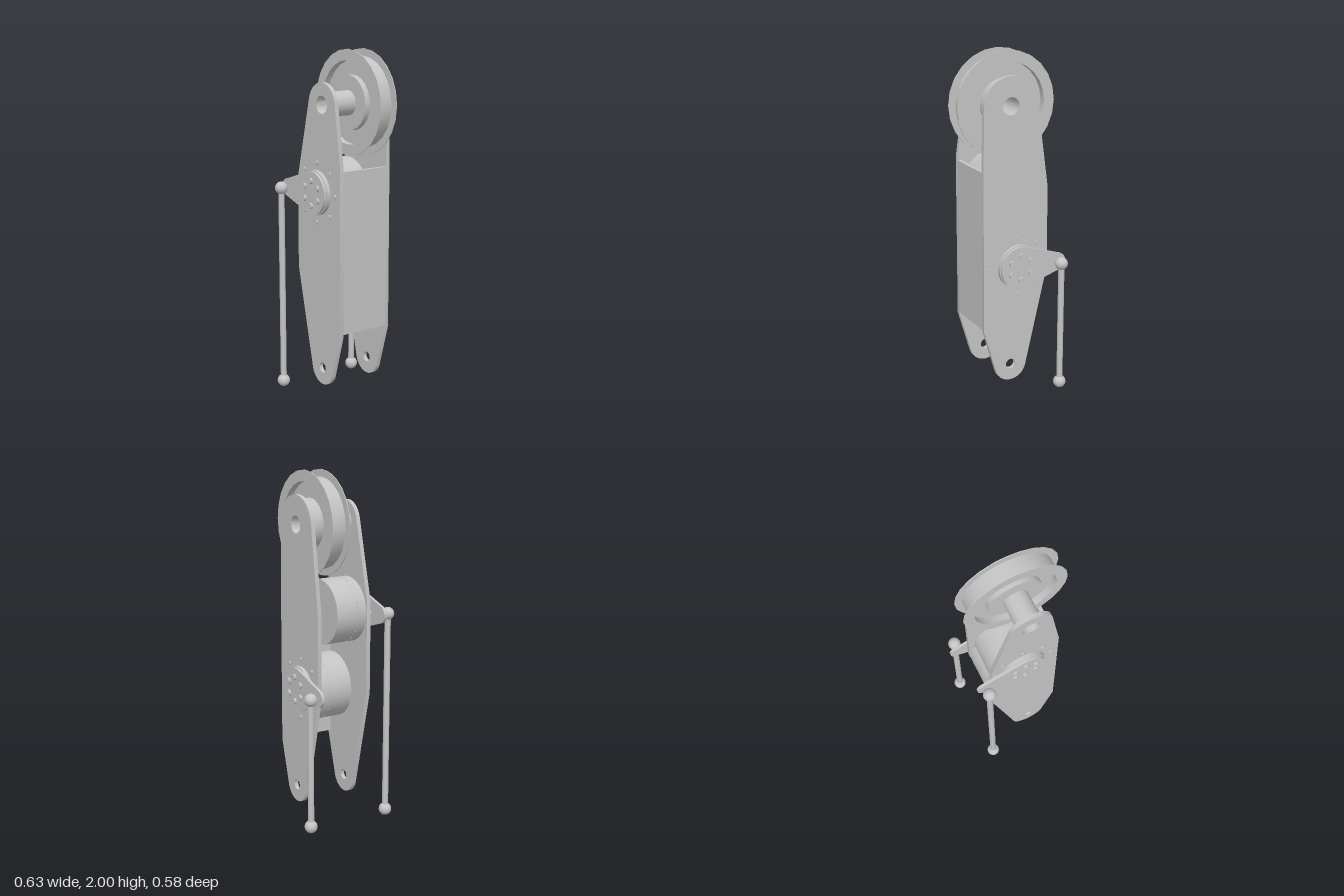
import * as THREE from 'three';
import { toCreasedNormals } from 'three/addons/utils/BufferGeometryUtils.js';

const metal = new THREE.MeshStandardMaterial({ color: 0xc4c4c4 });
metal.name = 'light grey metal';

const AXLE = [0.019, 1.702];
const FOOT = [0.019, 0.18];
const MOTOR_X = -0.028;
const TIP_X = -0.267;

function add(parent, name, geometry, x = 0, y = 0, z = 0) {
  const mesh = new THREE.Mesh(geometry, metal);
  mesh.name = name;
  mesh.position.set(x, y, z);
  parent.add(mesh);
  return mesh;
}

// Closed [radius, z] profile revolved around the z axis
function turned(profile, segments) {
  const points = profile.map(([r, z]) => new THREE.Vector2(r, z));
  const g = new THREE.LatheGeometry(points, segments).rotateX(Math.PI / 2);
  return toCreasedNormals(g, 0.5);
}

const disc = (r, depth, segments) => new THREE.CylinderGeometry(r, r, depth, segments).rotateX(Math.PI / 2);

function extruded(shape, depth) {
  return toCreasedNormals(new THREE.ExtrudeGeometry(shape, { depth, bevelEnabled: false, curveSegments: 24 }), 0.5);
}

// Angle on a circle where the tangent from an outside point touches it
function tangent([cx, cy], r, [px, py], side) {
  const d = Math.hypot(px - cx, py - cy);
  return Math.atan2(py - cy, px - cx) + side * Math.acos(r / d);
}

function plateShape(topR, rightTop, leftTop) {
  const footR = 0.1;
  const rl = [0.19, 0.41], rt = [0.19, rightTop], lt = [-0.215, leftTop], ll = [-0.215, 0.74];
  const s = new THREE.Shape();
  s.moveTo(...rl);
  s.lineTo(...rt);
  s.absarc(...AXLE, topR, tangent(AXLE, topR, rt, 1), tangent(AXLE, topR, lt, -1) + 2 * Math.PI, false);
  s.lineTo(...lt);
  s.lineTo(...ll);
  s.absarc(...FOOT, footR, tangent(FOOT, footR, ll, 1), tangent(FOOT, footR, rl, -1) + 2 * Math.PI, false);
  s.closePath();
  for (const [c, r] of [[AXLE, 0.05], [FOOT, 0.03]]) {
    s.holes.push(new THREE.Path().absarc(...c, r, 0, Math.PI * 2, true));
  }
  return s;
}

function leverShape() {
  const R = 0.123, r = 0.05, reach = MOTOR_X - TIP_X;
  const a = Math.PI - Math.acos((R - r) / reach);
  const s = new THREE.Shape();
  s.absarc(0, 0, R, -a, a, false);
  s.absarc(-reach, 0, r, a, 2 * Math.PI - a, false);
  s.closePath();
  return s;
}

// Motor, output disc, lever, bolts and push rod on one side (s = 1 front, -1 back)
function actuator(name, y, s) {
  const g = new THREE.Group();
  g.name = name;
  const housing = [[0, -0.046], [0.187, -0.046], [0.187, 0.144], [0.18, 0.149], [0, 0.149]];
  const motor = add(g, 'motorHousing', turned(housing, 40), MOTOR_X, y);
  if (s < 0) motor.rotation.y = Math.PI;
  // Shallow tabs around the housing seam
  for (let i = 0; i < 20; i++) {
    const a = i * Math.PI / 10;
    const tab = add(g, 'seamTab', new THREE.BoxGeometry(0.004, 0.03, 0.008),
      MOTOR_X + 0.186 * Math.cos(a), y + 0.186 * Math.sin(a), s * 0.09);
    tab.rotation.z = a;
  }
  add(g, 'outputDisc', disc(0.129, 0.024, 40), MOTOR_X, y, s * 0.184);
  add(g, 'lever', extruded(leverShape(), 0.017), MOTOR_X, y, s > 0 ? 0.195 : -0.212);
  for (let i = 0; i < 6; i++) {
    const a = Math.PI / 2 + i * Math.PI / 3;
    add(g, 'discBolt', disc(0.017, 0.014, 16), MOTOR_X + 0.071 * Math.cos(a), y + 0.071 * Math.sin(a), s * 0.218);
  }
  for (let i = 0; i < 8; i++) {
    const a = i * Math.PI / 4;
    add(g, 'mountBolt', disc(0.0125, 0.012, 14), MOTOR_X + 0.17 * Math.cos(a), y + 0.17 * Math.sin(a), s * 0.175);
  }
  // Push rod with ball ends
  const low = 0.037, z = s * 0.253;
  add(g, 'pushRod', new THREE.CylinderGeometry(0.018, 0.018, y - low, 20), TIP_X, (y + low) / 2, z);
  for (const by of [low, y]) add(g, 'rodBall', new THREE.SphereGeometry(0.037, 24, 16), TIP_X, by, z);
  return g;
}

export function createModel() {
  const model = new THREE.Group();
  model.name = 'pulleyLeg';

  // Side plates and the wall joining them
  add(model, 'frontPlate', extruded(plateShape(0.122, 1.365, 1.27), 0.024), 0, 0, 0.148);
  add(model, 'backPlate', extruded(plateShape(0.165, 1.33, 1.22), 0.024), 0, 0, -0.174);
  add(model, 'sideWall', new THREE.BoxGeometry(0.022, 0.93, 0.3), 0.179, 0.883, -0.001);

  // Flanged wheel with recessed web and hub
  const wheel = [[0.05, -0.15], [0.143, -0.15], [0.143, -0.08], [0.235, -0.08], [0.235, -0.119],
    [0.298, -0.119], [0.298, -0.114], [0.257, -0.114], [0.257, -0.011], [0.298, -0.011],
    [0.298, -0.006], [0.235, -0.006], [0.235, -0.045], [0.155, -0.045], [0.155, -0.012],
    [0.05, -0.012], [0.05, -0.15]];
  add(model, 'wheel', turned(wheel, 24), ...AXLE);
  const sleeve = [[0.05, -0.014], [0.07, -0.014], [0.07, 0.149], [0.05, 0.149], [0.05, -0.014]];
  add(model, 'axleSleeve', turned(sleeve, 32), ...AXLE);

  model.add(actuator('upperActuator', 1.205, 1));
  model.add(actuator('lowerActuator', 0.777, -1));
  return model;
}
